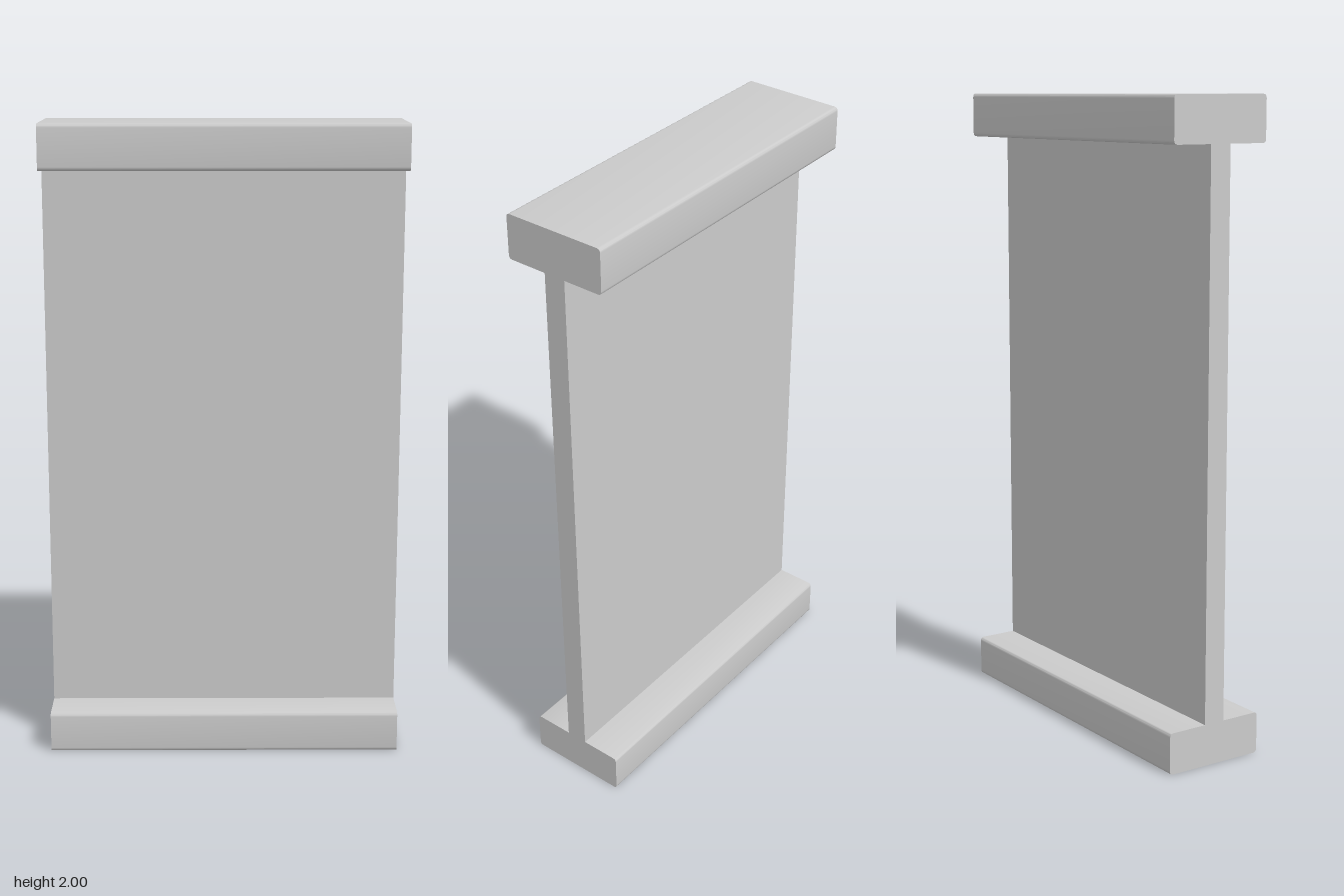
import * as THREE from 'three';
import { toCreasedNormals } from 'three/addons/utils/BufferGeometryUtils.js';

const LENGTH = 1.116, FLANGE = 0.165, WEB = 0.035;
const LOWER = 0.13, UPPER = 1.86, TOP = 2, RADIUS = 0.012;

// Draws a closed outline; corners flagged true are rounded.
function outline(corners) {
  const shape = new THREE.Shape();
  const n = corners.length;
  corners.forEach(([x, y, rounded], i) => {
    const p = new THREE.Vector2(x, y);
    const toward = (j) => {
      const [a, b] = corners[(j + n) % n];
      return new THREE.Vector2(a, b).sub(p).setLength(RADIUS).add(p);
    };
    const start = rounded ? toward(i - 1) : p;
    if (i === 0) shape.moveTo(start.x, start.y);
    else shape.lineTo(start.x, start.y);
    if (rounded) {
      const end = toward(i + 1);
      shape.quadraticCurveTo(x, y, end.x, end.y);
    }
  });
  shape.closePath();
  return shape;
}

export function createModel() {
  const group = new THREE.Group();
  group.name = 'iBeam';

  // One side of the I section, bottom to top, then its mirror image.
  const side = [
    [FLANGE, 0, true], [FLANGE, LOWER, true], [WEB, LOWER, false],
    [WEB, UPPER, false], [FLANGE, UPPER, true], [FLANGE, TOP, true],
  ];
  const mirrored = side.map(([x, y, r]) => [-x, y, r]).reverse();

  // Sweep the section along the width.
  const sweep = new THREE.ExtrudeGeometry(outline([...side, ...mirrored]), {
    depth: LENGTH, bevelEnabled: false, curveSegments: 4,
  });
  sweep.translate(0, 0, -LENGTH / 2).rotateY(Math.PI / 2);

  const beam = new THREE.Mesh(
    toCreasedNormals(sweep, 0.6),
    new THREE.MeshStandardMaterial({ color: 0xcccccc }),
  );
  beam.name = 'flangedBeam';
  group.add(beam);
  return group;
}
